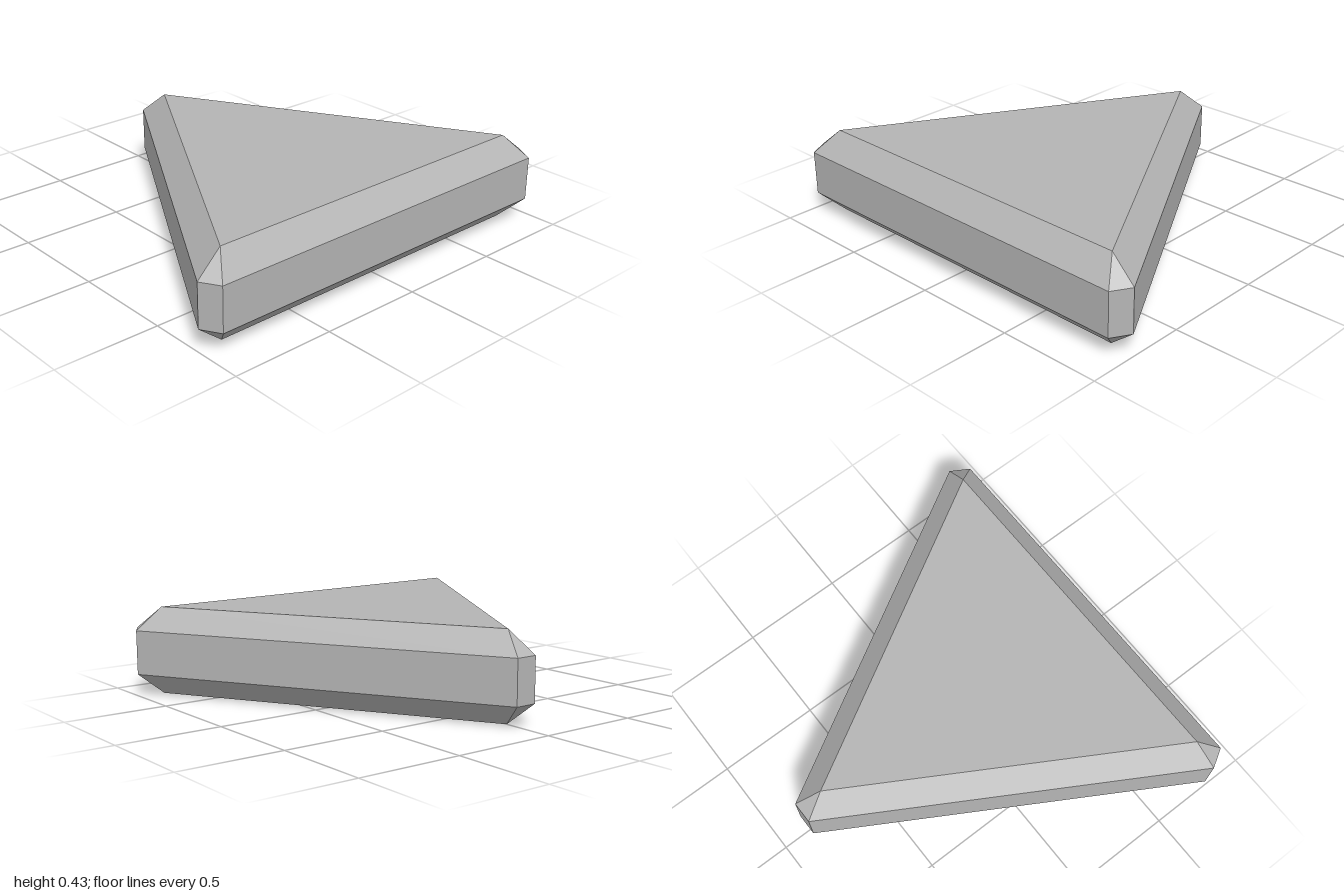
import * as THREE from 'three';
import { ConvexGeometry } from 'three/addons/geometries/ConvexGeometry.js';

export function createModel() {
  const group = new THREE.Group();
  group.name = 'bevelledTriangle';
  const grey = new THREE.MeshStandardMaterial({ color: 0xb4b4b4, flatShading: true });
  grey.name = 'grey';

  const height = 0.425, bevel = 0.106;
  const points = [];
  const ring = (outline, y) => outline.forEach(([x, z]) => points.push(new THREE.Vector3(x, y, z)));

  // Outlines in x, z: the flat triangular faces and the wider rim with cut corners
  const face = [[0, -0.745], [0.87, 0.757], [-0.87, 0.757]];
  const rim = [[0.053, -0.863], [1, 0.772], [0.947, 0.863], [-0.947, 0.863], [-1, 0.772], [-0.053, -0.863]];

  ring(face, 0);
  ring(rim, bevel);
  ring(rim, height - bevel);
  ring(face, height);

  // Solid prism with chamfered edges and corners
  const prism = new THREE.Mesh(new ConvexGeometry(points), grey);
  prism.name = 'triangularPrism';
  group.add(prism);
  return group;
}
